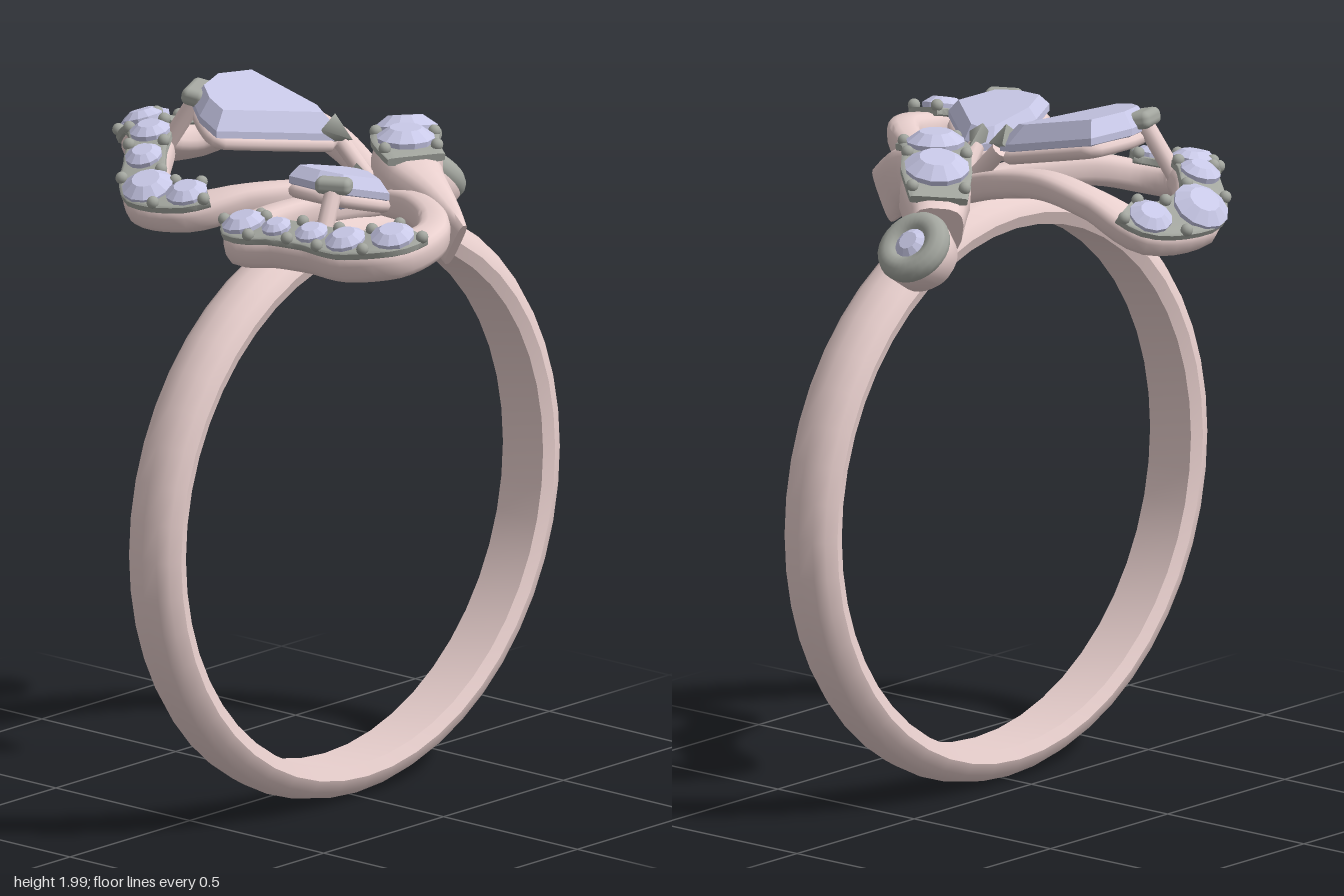
import * as THREE from 'three';
import { toCreasedNormals } from 'three/addons/utils/BufferGeometryUtils.js';
import { RoundedBoxGeometry } from 'three/addons/geometries/RoundedBoxGeometry.js';

const V = (x, y, z) => new THREE.Vector3(x, y, z);
const UP = V(0, 1, 0);
const gold = new THREE.MeshStandardMaterial({ color: 0xe8cfcd });
const steel = new THREE.MeshStandardMaterial({ color: 0xa3a69f });
const stone = new THREE.MeshStandardMaterial({ color: 0xc9c9e8, flatShading: true });

function add(parent, name, geo, mat, pos, dir) {
  const m = new THREE.Mesh(geo, mat);
  m.name = name;
  if (pos) m.position.copy(pos);
  if (dir) m.quaternion.setFromUnitVectors(UP, dir.clone().normalize());
  parent.add(m);
  return m;
}

// A band path from stations [x, y, z, width, height, bank]; t counts stations
function makePath(st) {
  const n = st.length - 1;
  const curve = new THREE.CatmullRomCurve3(st.map(s => V(s[0], s[1], s[2])));
  return t => {
    const i = Math.min(Math.floor(t), n - 1), f = t - i;
    const [w, h, bank] = [3, 4, 5].map(k => THREE.MathUtils.lerp(st[i][k], st[i + 1][k], f));
    const p = curve.getPoint(t / n), tan = curve.getTangent(t / n);
    const s = UP.clone().cross(tan).normalize(), nrm = tan.clone().cross(s);
    const side = s.clone().multiplyScalar(Math.cos(bank)).addScaledVector(nrm, -Math.sin(bank));
    const up = nrm.clone().multiplyScalar(Math.cos(bank)).addScaledVector(s, Math.sin(bank));
    return { p, w, h, side, up };
  };
}

// Sweep a rounded section along a path; thick > 0 makes a thin plate on its top
function sweep(path, t0, t1, thick = 0) {
  const pos = [], idx = [], N = 16, S = Math.ceil((t1 - t0) * 5), e = thick ? 0.25 : 0.65;
  const pw = v => Math.sign(v) * Math.abs(v) ** e;
  for (let i = 0; i <= S; i++) {
    const f = path(t0 + (t1 - t0) * i / S);
    const c = f.p.clone().addScaledVector(f.up, thick ? f.h / 2 : 0);
    for (let j = 0; j < N; j++) {
      const a = (j + 0.5) / N * Math.PI * 2;
      pos.push(...c.clone().addScaledVector(f.side, pw(Math.cos(a)) * f.w / 2)
        .addScaledVector(f.up, pw(Math.sin(a)) * (thick || f.h) / 2));
    }
  }
  for (let i = 0; i < S; i++) for (let j = 0; j < N; j++) {
    const a = i * N + j, b = i * N + (j + 1) % N;
    idx.push(a, b, b + N, a, b + N, a + N);
  }
  for (let j = 1; j < N - 1; j++) idx.push(0, j + 1, j, S * N, S * N + j, S * N + j + 1);
  const g = new THREE.BufferGeometry();
  g.setAttribute('position', new THREE.Float32BufferAttribute(pos, 3));
  g.setIndex(idx);
  return toCreasedNormals(g, 0.75);
}

// Round faceted stone: crown over a short girdle
function roundStone(parent, r, pos, dir) {
  const g = new THREE.Group();
  g.name = 'roundStone';
  add(g, 'girdle', new THREE.CylinderGeometry(r, r * 0.96, 0.016, 12), stone, V(0, 0.008, 0));
  add(g, 'crown', new THREE.CylinderGeometry(r * 0.55, r, r * 0.32, 12), stone, V(0, 0.016 + r * 0.16, 0));
  g.position.copy(pos);
  g.quaternion.setFromUnitVectors(UP, dir);
  parent.add(g);
}

// Gold band, grey plate over stations a..b, stones at stations, beads between them
function pavedBand(parent, name, st, radii, first, a, b) {
  const g = new THREE.Group(), path = makePath(st);
  g.name = name;
  parent.add(g);
  add(g, 'goldBand', sweep(path, 0, st.length - 1), gold);
  add(g, 'settingPlate', sweep(path, a, b, 0.025), steel);
  const bead = new THREE.SphereGeometry(0.018, 10, 8);
  radii.forEach((r, k) => {
    const f = path(first + k);
    roundStone(g, r, f.p.clone().addScaledVector(f.up, f.h / 2 + 0.008), f.up);
  });
  for (let k = 0; k <= radii.length; k++) {
    const f = path(THREE.MathUtils.clamp(first + k - 0.5, a + 0.08, b - 0.08));
    for (const s of [-1, 1]) add(g, 'bead', bead, steel,
      f.p.clone().addScaledVector(f.up, f.h / 2 + 0.018).addScaledVector(f.side, s * f.w * 0.42));
  }
}

// Fancy-cut stone from a plan outline on a tilted plane, with a wire seat below
function fancyStone(parent, name, outline, height, crown) {
  const n = outline.length, pos = [], idx = [];
  const cx = outline.reduce((s, p) => s + p[0], 0) / n, cz = outline.reduce((s, p) => s + p[1], 0) / n;
  const at = ([x, z], s, dy) => {
    const X = cx + (x - cx) * s, Z = cz + (z - cz) * s;
    return V(X, height(X, Z) + dy, Z);
  };
  const layers = [[0.001, crown], [0.8, crown], [1, 0], [1, -0.02], [0.001, -0.08]];
  for (const [s, dy] of layers) for (const p of outline) pos.push(...at(p, s, dy));
  for (let k = 0; k < layers.length - 1; k++) for (let j = 0; j < n; j++) {
    const u = k * n + j, v = k * n + (j + 1) % n;
    idx.push(u, u + n, v + n, u, v + n, v);
  }
  const geo = new THREE.BufferGeometry();
  geo.setAttribute('position', new THREE.Float32BufferAttribute(pos, 3));
  geo.setIndex(idx);
  geo.computeVertexNormals();
  add(parent, name, geo, stone);
  const rail = new THREE.CatmullRomCurve3(outline.map(p => at(p, 0.88, -0.04)), true, 'catmullrom', 0.2);
  add(parent, name + 'Seat', new THREE.TubeGeometry(rail, 48, 0.02, 8, true), gold);
}

function post(parent, a, b, r = 0.025) {
  const d = b.clone().sub(a);
  add(parent, 'seatPost', new THREE.CylinderGeometry(r, r, d.length(), 10), gold, a.clone().addScaledVector(d, 0.5), d);
}

export function createModel() {
  const root = new THREE.Group();
  root.name = 'butterflyRing';

  // Finger band with a domed outside and flat inside
  const prof = [[0.745, -0.075], [0.78, -0.089], [0.815, -0.075], [0.836, -0.045], [0.845, 0],
    [0.836, 0.045], [0.815, 0.075], [0.78, 0.089], [0.745, 0.075], [0.745, -0.075]];
  const band = add(root, 'fingerBand', toCreasedNormals(
    new THREE.LatheGeometry(prof.map(p => new THREE.Vector2(...p)), 48), 0.7), gold, V(0, 0.845, 0.13));
  band.rotation.x = Math.PI / 2;

  // Large wing
  pavedBand(root, 'largeWing', [
    [0.13, 1.70, 0.19, 0.06, 0.08, 0], [-0.07, 1.73, 0.07, 0.08, 0.09, 0], [-0.23, 1.73, -0.03, 0.09, 0.09, 0.1],
    [-0.34, 1.70, -0.14, 0.13, 0.09, 0.3], [-0.355, 1.70, -0.27, 0.15, 0.09, 0.35],
    [-0.265, 1.75, -0.365, 0.12, 0.09, 0.2], [-0.16, 1.78, -0.44, 0.12, 0.09, 0.15],
    [-0.08, 1.78, -0.53, 0.12, 0.09, 0.25], [0.03, 1.73, -0.615, 0.16, 0.09, 0.6],
    [0.18, 1.72, -0.57, 0.13, 0.09, 0.5], [0.245, 1.79, -0.44, 0.09, 0.08, 0.2],
    [0.255, 1.82, -0.28, 0.08, 0.08, 0.1], [0.23, 1.79, -0.1, 0.08, 0.08, 0], [0.15, 1.71, 0.15, 0.06, 0.08, 0],
  ], [0.06, 0.073, 0.053, 0.058, 0.058, 0.082, 0.062], 3, 2.6, 9.5);

  // Small wing
  pavedBand(root, 'smallWing', [
    [0.1, 1.70, 0.2, 0.06, 0.08, 0], [0.02, 1.73, 0.38, 0.08, 0.09, 0], [-0.1, 1.74, 0.55, 0.09, 0.09, 0],
    [-0.21, 1.73, 0.63, 0.1, 0.1, 0.1], [-0.33, 1.71, 0.615, 0.13, 0.1, 0.25], [-0.39, 1.69, 0.5, 0.13, 0.1, 0.3],
    [-0.4, 1.69, 0.38, 0.11, 0.1, 0.3], [-0.42, 1.69, 0.27, 0.11, 0.1, 0.3], [-0.43, 1.68, 0.16, 0.14, 0.1, 0.25],
    [-0.35, 1.69, 0.1, 0.11, 0.1, 0.1], [-0.18, 1.71, 0.12, 0.08, 0.09, 0], [0.1, 1.70, 0.18, 0.06, 0.08, 0],
  ], [0.062, 0.058, 0.047, 0.042, 0.063], 4, 3.5, 8.8);

  // Arched body with tapering tail
  pavedBand(root, 'body', [
    [0.085, 1.63, 0.47, 0.03, 0.16, 0], [0.11, 1.70, 0.37, 0.1, 0.17, 0], [0.15, 1.74, 0.26, 0.17, 0.17, 0],
    [0.205, 1.755, 0.175, 0.19, 0.17, 0], [0.33, 1.735, 0.07, 0.2, 0.17, 0.05], [0.43, 1.68, -0.02, 0.15, 0.16, 0.1],
  ], [0.083, 0.092], 3, 2.1, 4.75);

  // Round head bezel
  const head = new THREE.Group();
  head.name = 'head';
  head.position.set(0.53, 1.655, -0.025);
  head.quaternion.setFromUnitVectors(UP, V(0.72, 0.69, 0).normalize());
  add(head, 'bezelRim', new THREE.TorusGeometry(0.073, 0.037, 12, 28), steel).rotation.x = Math.PI / 2;
  add(head, 'bezelCup', toCreasedNormals(new THREE.LatheGeometry(
    [[0.001, -0.125], [0.06, -0.12], [0.093, -0.085], [0.106, -0.02], [0.1, 0]].map(p => new THREE.Vector2(...p)), 28), 0.6), gold);
  add(head, 'bezelFloor', new THREE.CylinderGeometry(0.075, 0.075, 0.01, 20), steel);
  roundStone(head, 0.05, V(0, 0.005, 0), UP);
  root.add(head);

  // Large wing stone, its prongs and posts
  fancyStone(root, 'largeWingStone', [[0.11, 0.02], [0.135, -0.03], [0.135, -0.335], [0, -0.37],
    [-0.12, -0.33], [-0.18, -0.25], [-0.21, -0.16]], (x, z) => 1.865 - 0.23 * z, 0.05);
  add(root, 'largeTipProng', new THREE.ConeGeometry(0.045, 0.08, 4), steel, V(0.1, 1.865, 0.03), V(0.1, -0.3, 1));
  const pad = new RoundedBoxGeometry(0.12, 0.05, 0.07, 3, 0.02);
  const pad1 = add(root, 'largePadProng', pad, steel, V(-0.09, 1.955, -0.335));
  pad1.rotation.set(0.22, 0.4, 0);
  post(root, V(-0.09, 1.94, -0.34), V(-0.13, 1.78, -0.43));
  post(root, V(0.1, 1.84, 0.03), V(0.13, 1.7, 0.15));

  // Small wing stone, its prongs and posts
  fancyStone(root, 'smallWingStone', [[-0.17, 0.45], [-0.04, 0.28], [-0.03, 0.22], [-0.06, 0.19],
    [-0.22, 0.17], [-0.31, 0.2], [-0.31, 0.3], [-0.28, 0.38]], x => 1.795 - 0.24 * (x + 0.03), 0.035);
  add(root, 'smallTipProng', new THREE.ConeGeometry(0.04, 0.075, 4), steel, V(-0.03, 1.805, 0.23), V(1, -0.25, -0.2));
  const pad2 = add(root, 'smallPadProng', pad, steel, V(-0.295, 1.86, 0.355));
  pad2.rotation.set(0, -1.1, 0);
  pad2.scale.set(0.85, 0.9, 0.8);
  post(root, V(-0.295, 1.85, 0.355), V(-0.38, 1.7, 0.38));
  post(root, V(-0.03, 1.79, 0.23), V(0.08, 1.7, 0.2));

  return root;
}
